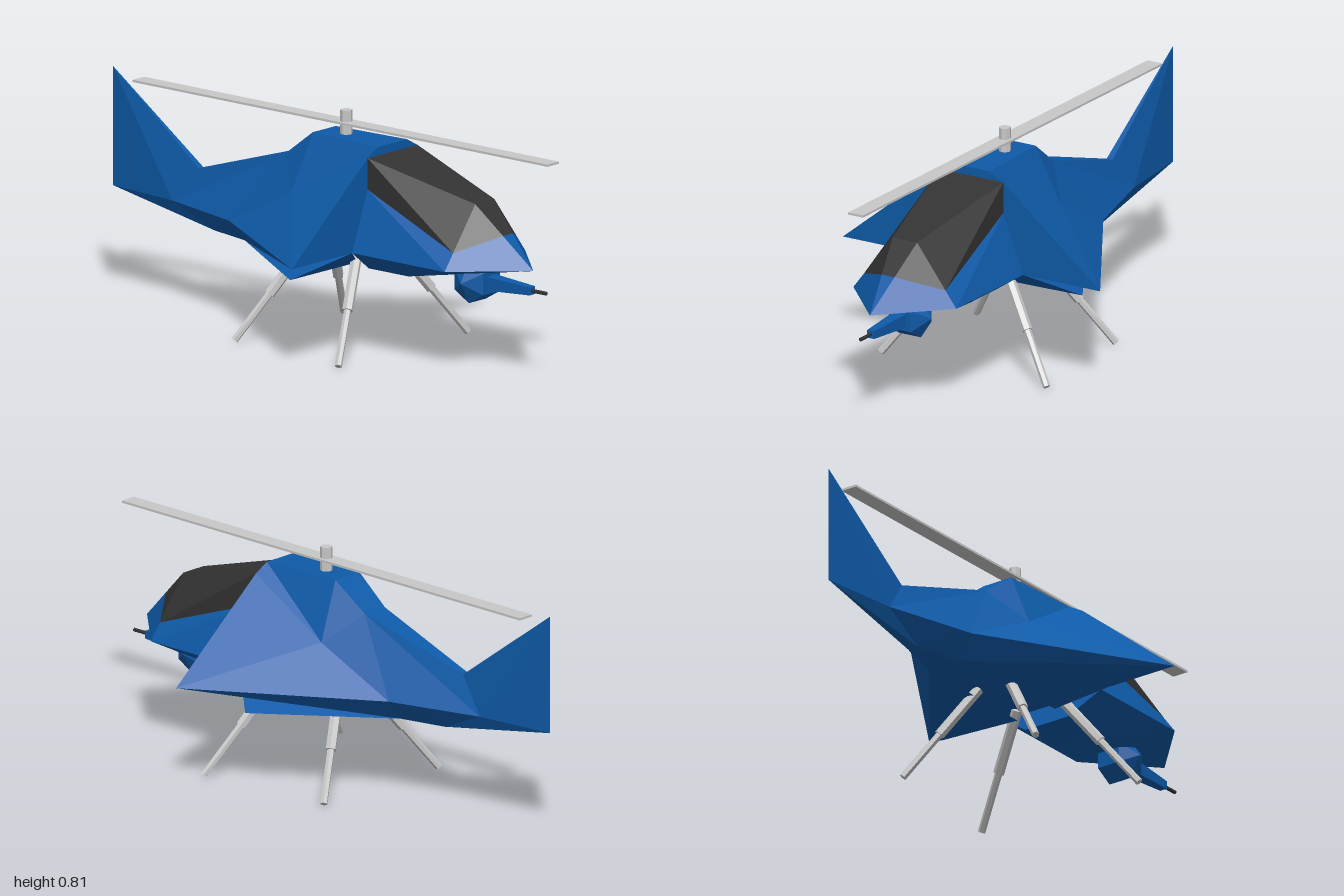
import * as THREE from 'three';

const flat = (color, name) => {
  const m = new THREE.MeshStandardMaterial({ color, flatShading: true });
  m.name = name;
  return m;
};

// Point on the centre line level with p
const mid = ([, y, z]) => [0, y, z];

// Flat-faced shell from polygons of the +x half, mirrored to -x.
// Every face is turned away from the inside point.
function shell(name, material, inside, polys, sides = [1, -1]) {
  const pos = [];
  const centre = new THREE.Vector3(...inside);
  for (const side of sides) {
    const c = centre.clone();
    c.x *= side;
    for (const poly of polys) {
      const pts = poly.map(([x, y, z]) => new THREE.Vector3(x * side, y, z));
      for (let i = 1; i < pts.length - 1; i++) {
        const t = new THREE.Triangle(pts[0], pts[i], pts[i + 1]);
        const out = t.getMidpoint(new THREE.Vector3()).sub(c);
        const facing = t.getNormal(new THREE.Vector3()).dot(out) >= 0;
        for (const p of facing ? [t.a, t.b, t.c] : [t.a, t.c, t.b]) pos.push(p.x, p.y, p.z);
      }
    }
  }
  const g = new THREE.BufferGeometry();
  g.setAttribute('position', new THREE.Float32BufferAttribute(pos, 3));
  g.computeVertexNormals();
  const mesh = new THREE.Mesh(g, material);
  mesh.name = name;
  return mesh;
}

// Straight rod between two points
function rod(name, material, a, b, ra, rb = ra, sides = 6) {
  const from = new THREE.Vector3(...a), to = new THREE.Vector3(...b);
  const dir = to.clone().sub(from);
  const mesh = new THREE.Mesh(new THREE.CylinderGeometry(rb, ra, dir.length(), sides), material);
  mesh.position.copy(from).add(to).multiplyScalar(0.5);
  mesh.quaternion.setFromUnitVectors(new THREE.Vector3(0, 1, 0), dir.normalize());
  mesh.name = name;
  return mesh;
}

export function createModel() {
  const model = new THREE.Group();
  model.name = 'helicopter';
  const blue = flat(0x0e5aa8, 'blue paint');
  const glass = flat(0x333333, 'dark glass');
  const metal = flat(0xc8c8c8, 'light metal');

  // Cockpit
  const sill0 = [0.21, 0.38, 0.27], sill1 = [0.21, 0.38, 0.69], nose = [0, 0.38, 0.91];
  const roof0 = [0.13, 0.70, 0.27], roof1 = [0.05, 0.59, 0.69];
  const pane0 = [0.13, 0.59, 0.27], pane1 = [0.166, 0.438, 0.69], pane2 = [0.026, 0.49, 0.795];
  const chin0 = [0.09, 0.30, 0.24], chin1 = [0.09, 0.30, 0.42];
  const cabin = [0, 0.45, 0.55];
  model.add(shell('canopy', glass, cabin, [
    [mid(roof0), roof0, roof1, mid(roof1)],
    [roof0, pane0, pane1, roof1],
    [roof1, pane1, pane2],
    [mid(roof1), roof1, pane2, mid(pane2)],
  ]));
  model.add(shell('cockpit', blue, cabin, [
    [pane0, sill0, sill1, pane1],
    [pane1, sill1, nose, pane2],
    [mid(pane2), pane2, nose],
    [sill1, chin1, chin0, sill0],
    [nose, sill1, chin1],
    [nose, chin1, mid(chin1)],
    [mid(chin0), chin0, chin1, mid(chin1)],
    [sill0, chin0, mid(chin0), mid(sill0)],
  ]));

  // Fuselage with delta wings, running back into the tail
  const top0 = [0.075, 0.73, 0.27], top1 = [0.06, 0.73, -0.04];
  const top2 = [0.05, 0.635, -0.17], top3 = [0.012, 0.505, -0.6];
  const shoulder = [0.15, 0.53, -0.06], wingTip = [0.525, 0.38, 0.27];
  const wingRear = [0.13, 0.38, -0.36], boom = [0.035, 0.38, -0.7];
  const keel0 = [0.06, 0.30, -0.35], keel1 = [0.02, 0.30, -0.52];
  const tailEnd = [0, 0.38, -1], finTip = [0, 0.80, -1];
  const core = [0, 0.42, -0.1];
  model.add(shell('fuselage', blue, core, [
    [mid(top0), top0, roof0, wingTip, mid(wingTip)],
    [mid(top0), top0, top1, mid(top1)],
    [mid(top1), top1, top2, mid(top2)],
    [mid(top2), top2, top3, mid(top3)],
    [top0, roof0, shoulder, top1],
    [top1, shoulder, top2],
    [top2, shoulder, wingRear],
    [top2, wingRear, boom, top3],
    [mid(sill0), sill0, keel0, mid(keel0)],
    [wingRear, boom, keel1, keel0],
    [boom, tailEnd, keel1],
    [mid(keel0), keel0, keel1, mid(keel1)],
    [mid(keel1), keel1, tailEnd],
  ]));
  model.add(shell('wings', blue, core, [
    [roof0, wingTip, shoulder],
    [shoulder, wingTip, wingRear],
    [wingTip, wingRear, keel0],
    [sill0, wingTip, keel0],
  ]));
  model.add(shell('tailFin', blue, [0, 0.5, -0.8], [
    [top3, boom, finTip],
    [boom, tailEnd, finTip],
    [mid(top3), top3, finTip],
  ]));

  // Small lower wings
  const stubTip = [0.35, 0.285, 0.11], stubRoot = [0.08, 0.31, 0.18];
  model.add(shell('lowerWings', blue, [0.175, 0.319, 0.0525], [
    [sill0, stubTip, keel0],
    [sill0, stubTip, stubRoot],
    [stubTip, keel0, stubRoot],
    [sill0, keel0, stubRoot],
  ]));

  // Rotor
  model.add(rod('rotorMast', metal, [0, 0.72, 0.06], [0, 0.815, 0.06], 0.021, 0.021, 8));
  const blade = new THREE.Mesh(new THREE.BoxGeometry(0.06, 0.008, 1.885), metal);
  blade.name = 'rotorBlade';
  blade.position.set(0, 0.771, 0.0575);
  model.add(blade);

  // Chin turret and gun
  const turret = new THREE.Mesh(new THREE.SphereGeometry(0.087, 6, 3).rotateZ(Math.PI / 2), blue);
  turret.name = 'turret';
  turret.position.set(0, 0.31, 0.655);
  model.add(turret);
  const housing = new THREE.Mesh(
    new THREE.CylinderGeometry(0.02, 0.035, 0.19, 4).rotateY(Math.PI / 4).rotateX(Math.PI / 2), blue);
  housing.name = 'gunHousing';
  housing.position.set(0, 0.31, 0.81);
  model.add(housing);
  model.add(rod('gunBarrel', glass, [0, 0.31, 0.9], [0, 0.31, 0.97], 0.007));

  // Telescopic legs: hip and foot points for the front and rear pairs
  const legs = [
    ['frontLeg', [0.09, 0.355, 0.19], [0.338, 0.012, 0.318]],
    ['rearLeg', [0.065, 0.335, -0.06], [0.285, 0.012, -0.2]],
  ];
  for (const [name, hip, foot] of legs) {
    for (const side of [1, -1]) {
      const a = [hip[0] * side, hip[1], hip[2]];
      const b = [foot[0] * side, foot[1], foot[2]];
      const knee = a.map((v, i) => v + (b[i] - v) * 0.52);
      const leg = new THREE.Group();
      leg.name = name + (side > 0 ? 'Left' : 'Right');
      leg.add(rod('upperStrut', metal, a, knee, 0.019), rod('lowerStrut', metal, knee, b, 0.013));
      model.add(leg);
    }
  }
  return model;
}
